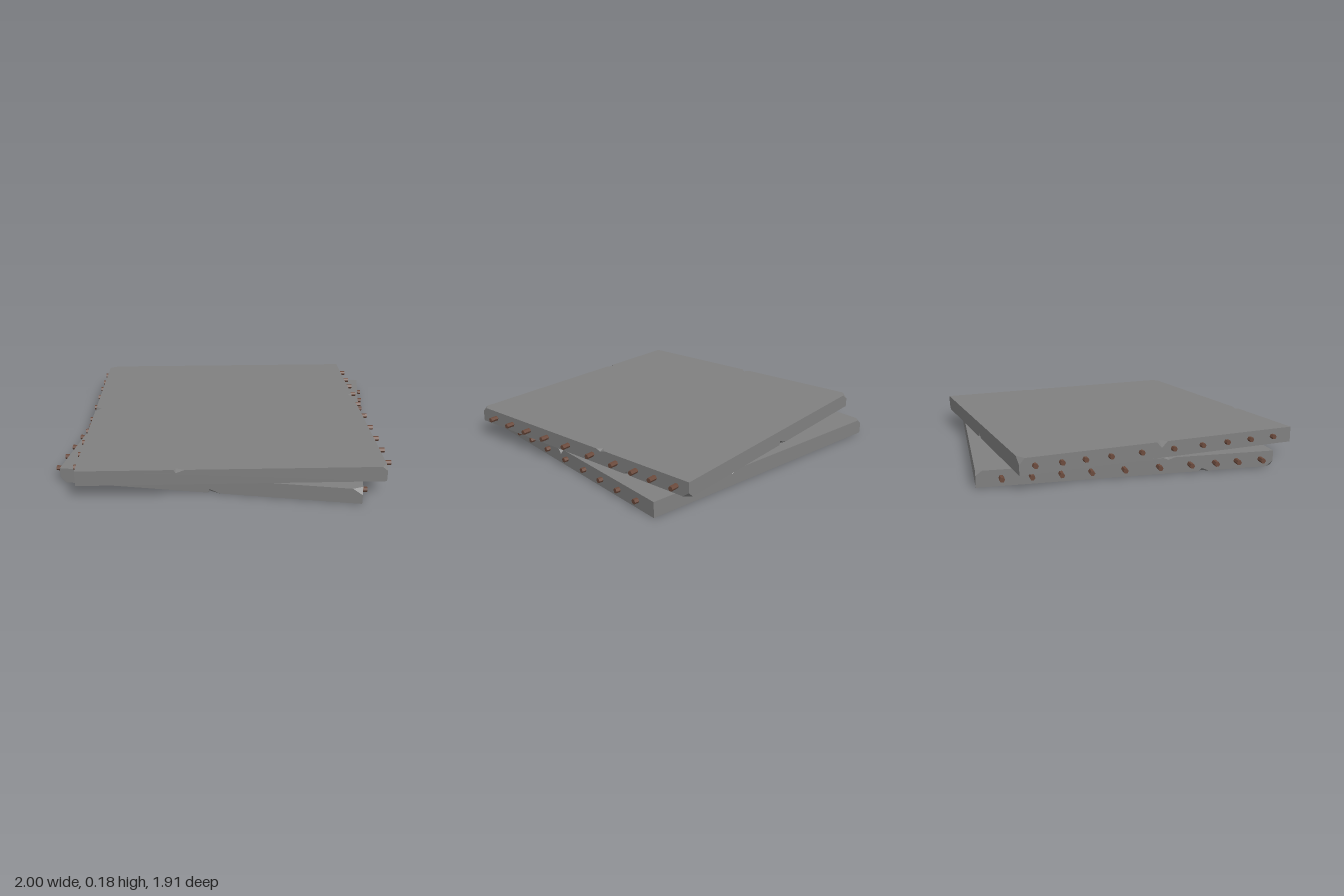
import * as THREE from 'three';

const HALF = [0.8475, 0.0445, 0.8225]; // slab half sizes in x, y, z

// Broken corners: signs of the corner and the cut length along each axis
const CORNER_CUTS = [
  { sign: [1, 1, 1], cut: [0.055, 0.035, 0.03] },
  { sign: [-1, 1, -1], cut: [0.03, 0.025, 0.035] },
  { sign: [-1, -1, 1], cut: [0.03, 0.03, 0.04] },
];

// Chipped edges: axis of the edge, its side signs, start, end, apex position and depths
const EDGE_CHIPS = [
  { axis: 0, sign: [0, -1, 1], from: 0.005, to: 0.07, apex: 0.01, depth: [0, 0.024, 0.025] },
  { axis: 0, sign: [0, 1, -1], from: 0.255, to: 0.315, apex: 0.305, depth: [0, 0.02, 0.02] },
  { axis: 2, sign: [1, 1, 0], from: -0.01, to: 0.055, apex: 0.025, depth: [0.035, 0.034, 0] },
  { axis: 2, sign: [-1, 1, 0], from: 0.18, to: 0.24, apex: 0.21, depth: [0.025, 0.012, 0] },
  { axis: 2, sign: [-1, -1, 0], from: 0.385, to: 0.44, apex: 0.4, depth: [0.02, 0.018, 0] },
];

// Positions of the reinforcing bars across the slab
const BAR_Z = [-0.692, -0.537, -0.383, -0.223, -0.043, 0.15, 0.328, 0.472, 0.6, 0.743];

function slabGeometry() {
  const positions = [];

  // Add a triangle, turned so that it faces the given outward direction
  const addTriangle = (a, b, c, outward) => {
    const [p, q, r] = [a, b, c].map((v) => new THREE.Vector3(...v));
    const normal = q.clone().sub(p).cross(r.clone().sub(p));
    const flip = normal.dot(new THREE.Vector3(...outward)) < 0;
    positions.push(...a, ...(flip ? c : b), ...(flip ? b : c));
  };
  const cornerPoint = (sign) => sign.map((s, i) => s * HALF[i]);
  const moveIn = (point, sign, axis, amount) => {
    const moved = [...point];
    moved[axis] -= sign[axis] * amount;
    return moved;
  };
  const chipPoint = (chip, t) => {
    const p = cornerPoint(chip.sign);
    p[chip.axis] = t;
    return p;
  };

  // Six faces, each outline following the broken corners and chips
  for (let k = 0; k < 3; k++) {
    const u = (k + 1) % 3, v = (k + 2) % 3;
    for (const side of [-1, 1]) {
      const outline = [];
      const ring = [[-1, -1], [1, -1], [1, 1], [-1, 1]];
      ring.forEach(([su, sv], i) => {
        const sign = [0, 0, 0];
        sign[k] = side; sign[u] = su; sign[v] = sv;
        const inAxis = i % 2 ? u : v, outAxis = i % 2 ? v : u;
        const corner = cornerPoint(sign);
        const broken = CORNER_CUTS.find((c) => c.sign.every((s, j) => s === sign[j]));
        if (broken) {
          outline.push(moveIn(corner, sign, inAxis, broken.cut[inAxis]));
          outline.push(moveIn(corner, sign, outAxis, broken.cut[outAxis]));
        } else outline.push(corner);

        // Chips on the edge that leaves this corner
        const forward = sign[outAxis] < 0;
        const chips = EDGE_CHIPS.filter((c) => c.axis === outAxis
          && c.sign[k] === side && c.sign[inAxis] === sign[inAxis]);
        for (const c of chips) {
          const notch = [chipPoint(c, c.from),
            moveIn(chipPoint(c, c.apex), c.sign, inAxis, c.depth[inAxis]), chipPoint(c, c.to)];
          outline.push(...(forward ? notch : notch.reverse()));
        }
      });
      const outward = [0, 0, 0];
      outward[k] = side;
      const flat = outline.map((p) => new THREE.Vector2(p[u], p[v]));
      for (const [a, b, c] of THREE.ShapeUtils.triangulateShape(flat, [])) {
        addTriangle(outline[a], outline[b], outline[c], outward);
      }
    }
  }

  // Facets of the broken corners
  for (const { sign, cut } of CORNER_CUTS) {
    const p = cornerPoint(sign);
    addTriangle(...[0, 1, 2].map((a) => moveIn(p, sign, a, cut[a])), sign);
  }

  // Two facets inside each edge chip
  for (const c of EDGE_CHIPS) {
    const [m, n] = [0, 1, 2].filter((a) => a !== c.axis);
    const apex = chipPoint(c, c.apex);
    const p = moveIn(apex, c.sign, m, c.depth[m]);
    const q = moveIn(apex, c.sign, n, c.depth[n]);
    addTriangle(chipPoint(c, c.from), p, q, c.sign);
    addTriangle(chipPoint(c, c.to), p, q, c.sign);
  }

  const geometry = new THREE.BufferGeometry();
  geometry.setAttribute('position', new THREE.Float32BufferAttribute(positions, 3));
  geometry.computeVertexNormals();
  return geometry;
}

export function createModel() {
  const concrete = new THREE.MeshStandardMaterial({ color: 0x808080 });
  concrete.name = 'concrete grey';
  const rust = new THREE.MeshStandardMaterial({ color: 0x6b4a3c });
  rust.name = 'rusty brown';
  rust.flatShading = true;

  const slabShape = slabGeometry();
  const barShape = new THREE.CylinderGeometry(0.0145, 0.0145, 1.77, 6).rotateZ(Math.PI / 2);

  // One slab with bars running through it and sticking out at both sides
  const makeSlab = (name) => {
    const group = new THREE.Group();
    group.name = name;
    const slab = new THREE.Mesh(slabShape, concrete);
    slab.name = 'concreteSlab';
    group.add(slab);
    BAR_Z.forEach((z, i) => {
      const bar = new THREE.Mesh(barShape, rust);
      bar.name = `reinforcingBar${i + 1}`;
      bar.position.set(-0.011, 0.002, z);
      group.add(bar);
    });
    return group;
  };

  const model = new THREE.Group();
  model.name = 'stackedSlabs';

  const lower = makeSlab('lowerSlab');
  lower.position.set(-0.0075, HALF[1], -0.0525);

  // The upper slab is the same piece turned around and set askew
  const upper = makeSlab('upperSlab');
  upper.position.set(-0.007, HALF[1] * 3, -0.003);
  upper.rotation.y = THREE.MathUtils.degToRad(190);

  model.add(lower, upper);
  return model;
}
